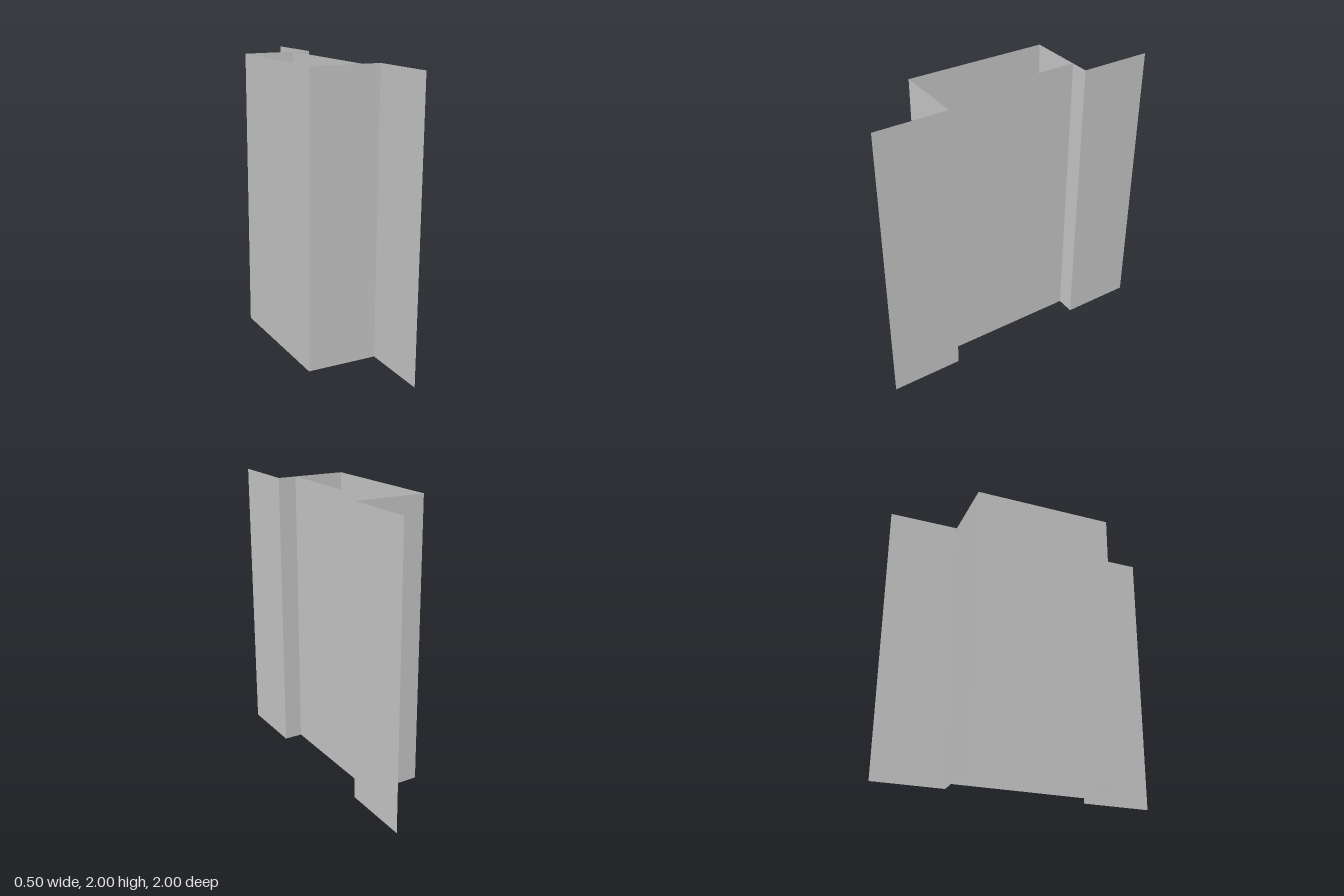
import * as THREE from 'three';

const HEIGHT = 2;

export function createModel() {
  const group = new THREE.Group();
  group.name = 'sheetProfile';
  const material = new THREE.MeshStandardMaterial({ color: 0xcccccc, side: THREE.DoubleSide });

  // Upright thin sheet spanning two plan points [x, z]
  function sheet(name, [x1, z1], [x2, z2]) {
    const dx = x2 - x1, dz = z2 - z1;
    const mesh = new THREE.Mesh(new THREE.PlaneGeometry(Math.hypot(dx, dz), HEIGHT), material);
    mesh.position.set((x1 + x2) / 2, HEIGHT / 2, (z1 + z2) / 2);
    mesh.rotation.y = Math.atan2(-dz, dx);
    mesh.name = name;
    group.add(mesh);
  }

  // Long faces of the channel
  sheet('channelWall', [-0.25, 0.5], [-0.25, -0.5]);
  sheet('innerPanel', [0.12, -0.5], [0.12, 0.5]);

  // Side webs and outer flanges, mirrored front to back
  for (const [end, s] of [['front', 1], ['back', -1]]) {
    sheet(end + 'Web', [-0.25, s * 0.5], [0.25, s * 0.5]);
    sheet(end + 'Flange', [0.25, s * 0.5], [0.25, s]);
  }
  return group;
}
